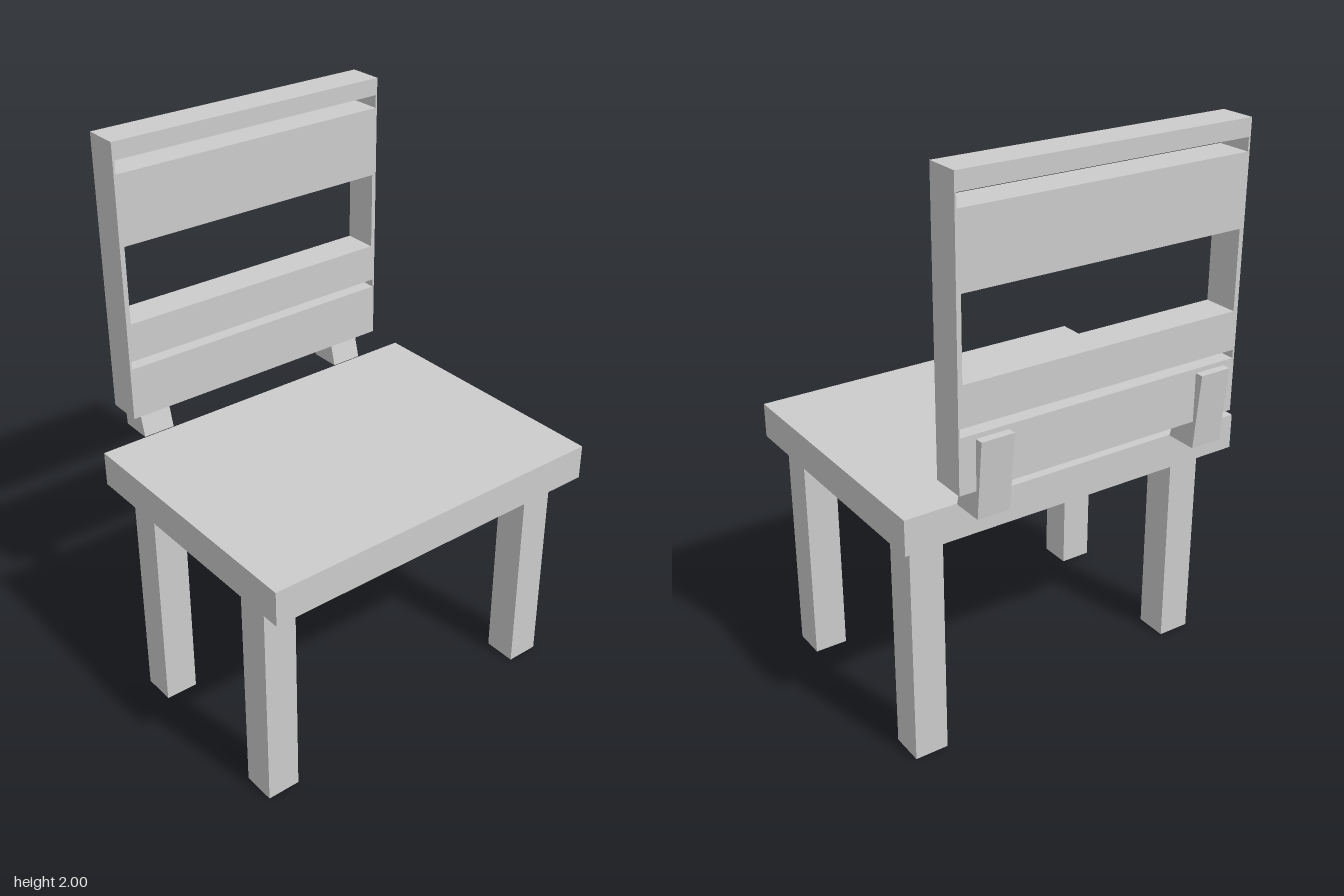
import * as THREE from 'three';

const material = new THREE.MeshStandardMaterial({ color: 0xcccccc, flatShading: true });

export function createModel() {
  const group = new THREE.Group();

  const add = (name, geometry) => {
    const mesh = new THREE.Mesh(geometry, material);
    mesh.name = name;
    group.add(mesh);
    return mesh;
  };

  // Box given by its limits on each axis
  const block = (name, [x0, x1], [y0, y1], [z0, z1]) =>
    add(name, new THREE.BoxGeometry(x1 - x0, y1 - y0, z1 - z0))
      .position.set((x0 + x1) / 2, (y0 + y1) / 2, (z0 + z1) / 2);

  const rectangle = (target, x0, x1, y0, y1) => {
    target.moveTo(x0, y0).lineTo(x1, y0).lineTo(x1, y1).lineTo(x0, y1).closePath();
    return target;
  };

  // Seat slab
  block('seat', [-0.65, 0.65], [0.805, 0.93], [-0.417, 0.56]);

  // Legs: the right back leg stands further forward than the left one
  const legs = [
    ['frontLegRight', -0.565, 0.4],
    ['frontLegLeft', 0.555, 0.4],
    ['backLegRight', -0.565, -0.22],
    ['backLegLeft', 0.555, -0.32],
  ];
  for (const [name, x, z] of legs) {
    block(name, [x - 0.06, x + 0.06], [0, 0.805], [z - 0.06, z + 0.06]);
  }

  // Backrest panel with three slots cut through
  const panel = rectangle(new THREE.Shape(), -0.53, 0.525, 1.025, 2);
  panel.holes.push(
    rectangle(new THREE.Path(), -0.523, 0.519, 1.213, 1.242),
    rectangle(new THREE.Path(), -0.513, 0.509, 1.378, 1.652),
    rectangle(new THREE.Path(), -0.523, 0.519, 1.895, 1.94),
  );
  add('backrest', new THREE.ExtrudeGeometry(panel, { depth: 0.125, bevelEnabled: false }))
    .position.z = -0.53;

  // Tapered brackets joining seat and backrest: profile in (-z, y), extruded along x
  const profile = new THREE.Shape([
    new THREE.Vector2(0.42, 0.93),
    new THREE.Vector2(0.535, 0.93),
    new THREE.Vector2(0.56, 1.197),
    new THREE.Vector2(0.49, 1.197),
  ]);
  for (const [name, x] of [['bracketRight', -0.485], ['bracketLeft', 0.35]]) {
    const bracket = add(name, new THREE.ExtrudeGeometry(profile, { depth: 0.116, bevelEnabled: false }));
    bracket.rotation.y = Math.PI / 2;
    bracket.position.x = x;
  }

  return group;
}
